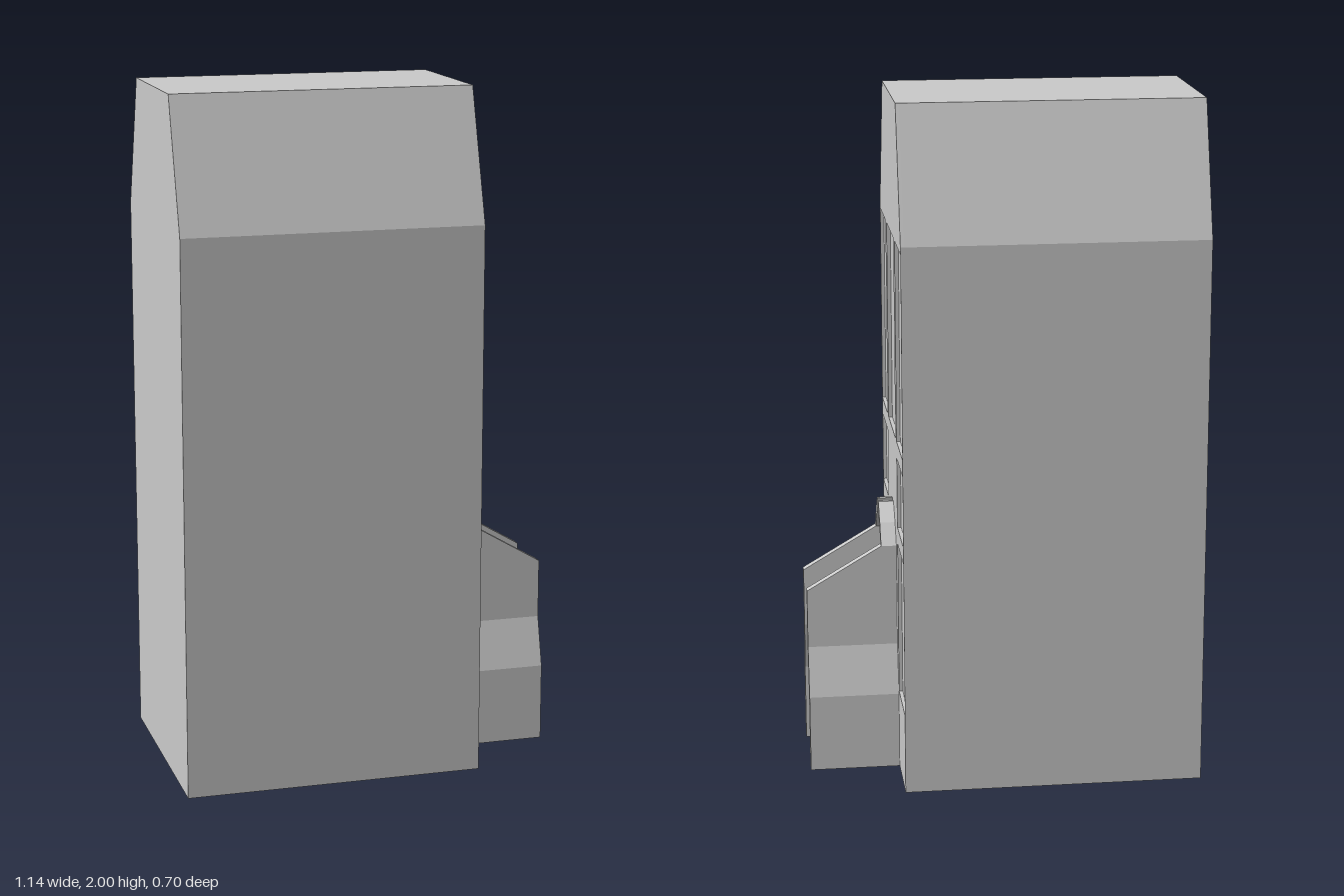
import * as THREE from 'three';

const material = new THREE.MeshStandardMaterial({ color: 0xcccccc, flatShading: true });

function toShape(points, holes = []) {
  const make = (C, pts) => new C(pts.map(([x, y]) => new THREE.Vector2(x, y)));
  const shape = make(THREE.Shape, points);
  shape.holes = holes.map((h) => make(THREE.Path, h));
  return shape;
}

const rect = (x0, y0, x1, y1) => [[x0, y0], [x1, y0], [x1, y1], [x0, y1]];
const extrude = (shape, depth) =>
  new THREE.ExtrudeGeometry(shape, { depth, bevelEnabled: false, curveSegments: 6 });

export function createModel() {
  const model = new THREE.Group();
  const add = (name, geometry, parent = model) => {
    const mesh = new THREE.Mesh(geometry, material);
    mesh.name = name;
    parent.add(mesh);
    return mesh;
  };

  // Extrudes a (z, y) outline along +x from x0 to x1
  const alongX = (points, x0, x1, holes) =>
    extrude(toShape(points, holes), x1 - x0).rotateY(Math.PI / 2).translate(x0, 0, 0);

  // Building block with mansard roof, and the thin facade layer with recesses
  const outline = [[-0.35, 0], [0.35, 0], [0.35, 1.62], [0.225, 2], [-0.225, 2], [-0.35, 1.62]];
  const face = 0.305, recess = 0.294;
  const openings = [rect(-0.115, 1.01, 0.115, 1.6), rect(-0.06, 0.235, 0.06, 0.515)];
  for (const [y0, y1] of [[1.01, 1.6], [0.75, 0.96], [0.24, 0.7]]) {
    openings.push(rect(-0.345, y0, -0.155, y1), rect(0.155, y0, 0.345, y1));
  }
  add('building', alongX(outline, -0.57, recess));
  add('facade', alongX(outline, recess, face, openings));

  // Entrance stairs
  const stairs = new THREE.Group();
  stairs.name = 'stairs';
  model.add(stairs);
  const fronts = [0.55, 0.52, 0.483, 0.44, 0.39, 0.35];
  const heights = [0.048, 0.082, 0.117, 0.152, 0.19, 0.23];
  fronts.forEach((front, i) => {
    const bottom = i ? heights[i - 1] : 0, h = heights[i] - bottom;
    const step = new THREE.BoxGeometry(front - face, h, 0.22);
    add('step', step.translate((front + face) / 2, bottom + h / 2, 0), stairs);
  });

  // Wall thickness limits by height: wide at the foot, leaning in, narrow above
  const lean = (y) => THREE.MathUtils.clamp((y - 0.23) / 0.145, 0, 1);
  const inner = (y) => 0.11 - 0.026 * lean(y);
  const outer = (y) => 0.15 - 0.039 * lean(y);

  // One piece of a porch wall, spanning the fractions t0..t1 of its thickness
  function wallPiece(side, points, t0 = 0, t1 = 1, holes = []) {
    const geometry = extrude(toShape(points, holes), 1);
    const p = geometry.attributes.position;
    for (let i = 0; i < p.count; i++) {
      const y = p.getY(i);
      const t = side > 0 ? p.getZ(i) : 1 - p.getZ(i);
      p.setZ(i, side * THREE.MathUtils.lerp(inner(y), outer(y), t0 + (t1 - t0) * t));
    }
    geometry.computeVertexNormals();
    return geometry;
  }

  for (const side of [1, -1]) {
    const wall = new THREE.Group();
    wall.name = side > 0 ? 'leftPorchWall' : 'rightPorchWall';
    model.add(wall);
    const band = rect(face, 0.23, 0.57, 0.375);
    add('wallFoot', wallPiece(side, rect(face, 0, 0.57, 0.23)), wall);
    add('wallPanelFrame', wallPiece(side, band, 0, 0.3, [rect(0.42, 0.255, 0.545, 0.355)]), wall);
    add('wallSlope', wallPiece(side, band, 0.3, 1), wall);
    add('wallTop', wallPiece(side, [[face, 0.375], [0.57, 0.375], [0.57, 0.55], [0.35, 0.68], [face, 0.68]]), wall);

    // Broken pediment half with a curled tip
    const hood = [[0.111, 0.68], [0.072, 0.74], [0.024, 0.79], [0.012, 0.79], [0.016, 0.768],
      [0.012, 0.748], [0.03, 0.744], [0.05, 0.727], [0.084, 0.68]];
    add('pediment', alongX(hood.map(([z, y]) => [-side * z, y]), face, 0.35), wall);
  }
  return model;
}
